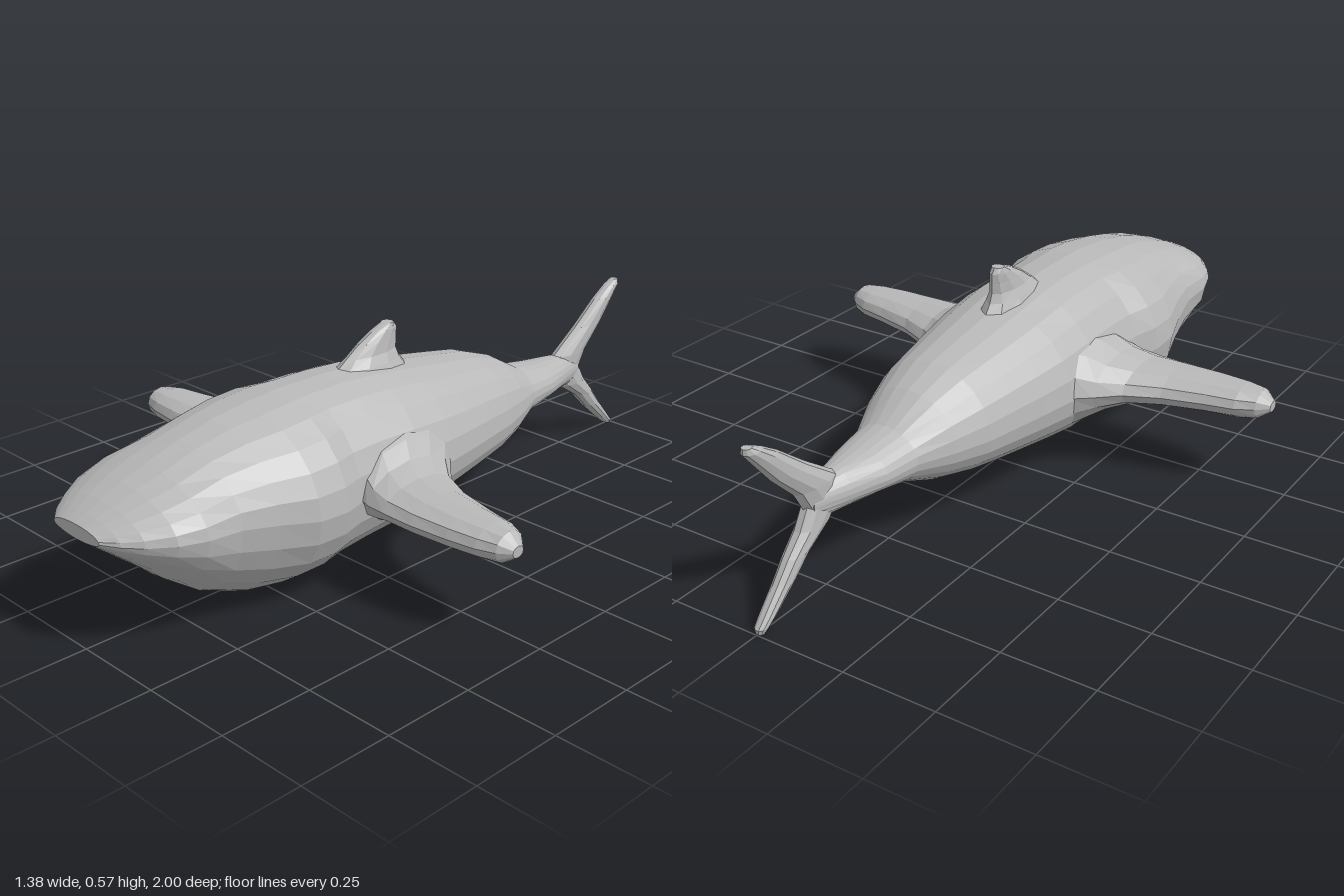
import * as THREE from 'three';

const X = new THREE.Vector3(1, 0, 0);
const Z = new THREE.Vector3(0, 0, 1);
const Y = new THREE.Vector3(0, 1, 0);

// Ring of n points around a centre; u x v points along the loft direction.
function ring(center, u, v, n, shape) {
  return Array.from({ length: n }, (_, i) => {
    const t = (i / n) * Math.PI * 2;
    const [a, b] = shape(Math.cos(t), Math.sin(t));
    return center.clone().addScaledVector(u, a).addScaledVector(v, b);
  });
}

// Joins the rings into one closed skin with capped ends.
function loft(rings) {
  const n = rings[0].length;
  const points = rings.flat();
  const index = [];
  for (let r = 0; r < rings.length - 1; r++) {
    for (let i = 0; i < n; i++) {
      const j = (i + 1) % n;
      const a = r * n + i, b = r * n + j, c = a + n, d = b + n;
      index.push(a, b, d, a, d, c);
    }
  }
  const middle = (list) => list.reduce((s, p) => s.add(p), new THREE.Vector3()).divideScalar(n);
  const first = points.length, last = first + 1, end = (rings.length - 1) * n;
  points.push(middle(rings[0]), middle(rings[rings.length - 1]));
  for (let i = 0; i < n; i++) {
    const j = (i + 1) % n;
    index.push(first, j, i, last, end + i, end + j);
  }
  const geometry = new THREE.BufferGeometry().setFromPoints(points);
  geometry.setIndex(index);
  geometry.computeVertexNormals();
  return geometry;
}

export function createModel() {
  const model = new THREE.Group();
  model.name = 'whale';
  const grey = new THREE.MeshStandardMaterial({ color: 0xb8b8b8, flatShading: true });
  grey.name = 'grey skin';

  function add(name, rings) {
    const mesh = new THREE.Mesh(loft(rings), grey);
    mesh.name = name;
    model.add(mesh);
  }

  // Body: z, half width, bottom, height of the widest line, top
  const body = [
    [-0.80, 0.022, 0.20, 0.25, 0.285], [-0.70, 0.055, 0.20, 0.25, 0.305],
    [-0.60, 0.085, 0.195, 0.25, 0.313], [-0.50, 0.100, 0.175, 0.25, 0.328],
    [-0.40, 0.145, 0.135, 0.25, 0.385], [-0.30, 0.180, 0.11, 0.25, 0.42],
    [-0.20, 0.200, 0.092, 0.25, 0.437], [-0.10, 0.220, 0.078, 0.25, 0.453],
    [0.00, 0.237, 0.062, 0.25, 0.47], [0.12, 0.245, 0.038, 0.25, 0.487],
    [0.24, 0.245, 0.028, 0.25, 0.495], [0.34, 0.250, 0.017, 0.25, 0.495],
    [0.41, 0.274, 0.010, 0.255, 0.495], [0.50, 0.275, 0.008, 0.26, 0.487],
    [0.60, 0.245, 0.018, 0.275, 0.473], [0.70, 0.226, 0.058, 0.29, 0.45],
    [0.80, 0.230, 0.13, 0.30, 0.42], [0.87, 0.208, 0.19, 0.303, 0.395],
    [0.93, 0.168, 0.238, 0.305, 0.37], [0.97, 0.130, 0.27, 0.308, 0.35],
    [1.00, 0.090, 0.295, 0.312, 0.333],
  ];
  add('body', body.map(([z, w, low, mid, top]) =>
    ring(new THREE.Vector3(0, mid, z), X, Y, 24, (c, s) => {
      const power = s < 0 ? 1.15 : 0.95;
      return [Math.sign(c) * w * Math.abs(c) ** power, s * (s < 0 ? mid - low : top - mid)];
    })));

  // Side fins: distance out, back edge, front edge, bottom, top
  const fin = [
    [0.16, -0.10, 0.33, 0.11, 0.40], [0.23, 0.00, 0.335, 0.15, 0.36],
    [0.27, 0.045, 0.345, 0.175, 0.325], [0.33, 0.10, 0.35, 0.197, 0.303],
    [0.42, 0.145, 0.35, 0.20, 0.297], [0.53, 0.175, 0.343, 0.203, 0.295],
    [0.61, 0.192, 0.332, 0.205, 0.293], [0.66, 0.218, 0.315, 0.21, 0.288],
    [0.69, 0.25, 0.288, 0.232, 0.262],
  ];
  for (const side of [1, -1]) {
    add(side > 0 ? 'leftFin' : 'rightFin', fin.map(([x, back, front, low, top]) => {
      const center = new THREE.Vector3(side * x, (low + top) / 2, (back + front) / 2);
      const h = (top - low) / 2, w = (front - back) / 2;
      return side > 0
        ? ring(center, Y, Z, 12, (c, s) => [c * h, s * w])
        : ring(center, Z, Y, 12, (c, s) => [c * w, s * h]);
    }));
  }

  // Upright fins: height, back edge, front edge, half thickness
  function uprightFin(name, rows, up) {
    add(name, rows.map(([y, back, front, t]) => {
      const center = new THREE.Vector3(0, y, (back + front) / 2);
      const w = (front - back) / 2;
      return up
        ? ring(center, Z, X, 10, (c, s) => [c * w, s * t])
        : ring(center, X, Z, 10, (c, s) => [c * t, s * w]);
    }));
  }
  uprightFin('dorsalFin', [
    [0.44, -0.07, 0.22, 0.065], [0.485, -0.035, 0.19, 0.045],
    [0.51, -0.025, 0.155, 0.032], [0.54, -0.025, 0.11, 0.027],
    [0.565, -0.024, 0.06, 0.023], [0.58, -0.012, 0.02, 0.018],
  ], true);
  uprightFin('upperFluke', [
    [0.22, -0.80, -0.66, 0.030], [0.30, -0.845, -0.70, 0.030],
    [0.37, -0.915, -0.80, 0.026], [0.44, -0.972, -0.89, 0.023],
    [0.472, -0.998, -0.94, 0.020], [0.487, -0.996, -0.972, 0.013],
  ], true);
  uprightFin('lowerFluke', [
    [0.28, -0.80, -0.66, 0.030], [0.20, -0.845, -0.73, 0.030],
    [0.15, -0.89, -0.81, 0.026], [0.10, -0.93, -0.862, 0.023],
    [0.04, -0.982, -0.935, 0.020], [0.02, -1.0, -0.96, 0.017],
    [0.008, -0.998, -0.978, 0.012],
  ], false);

  return model;
}
